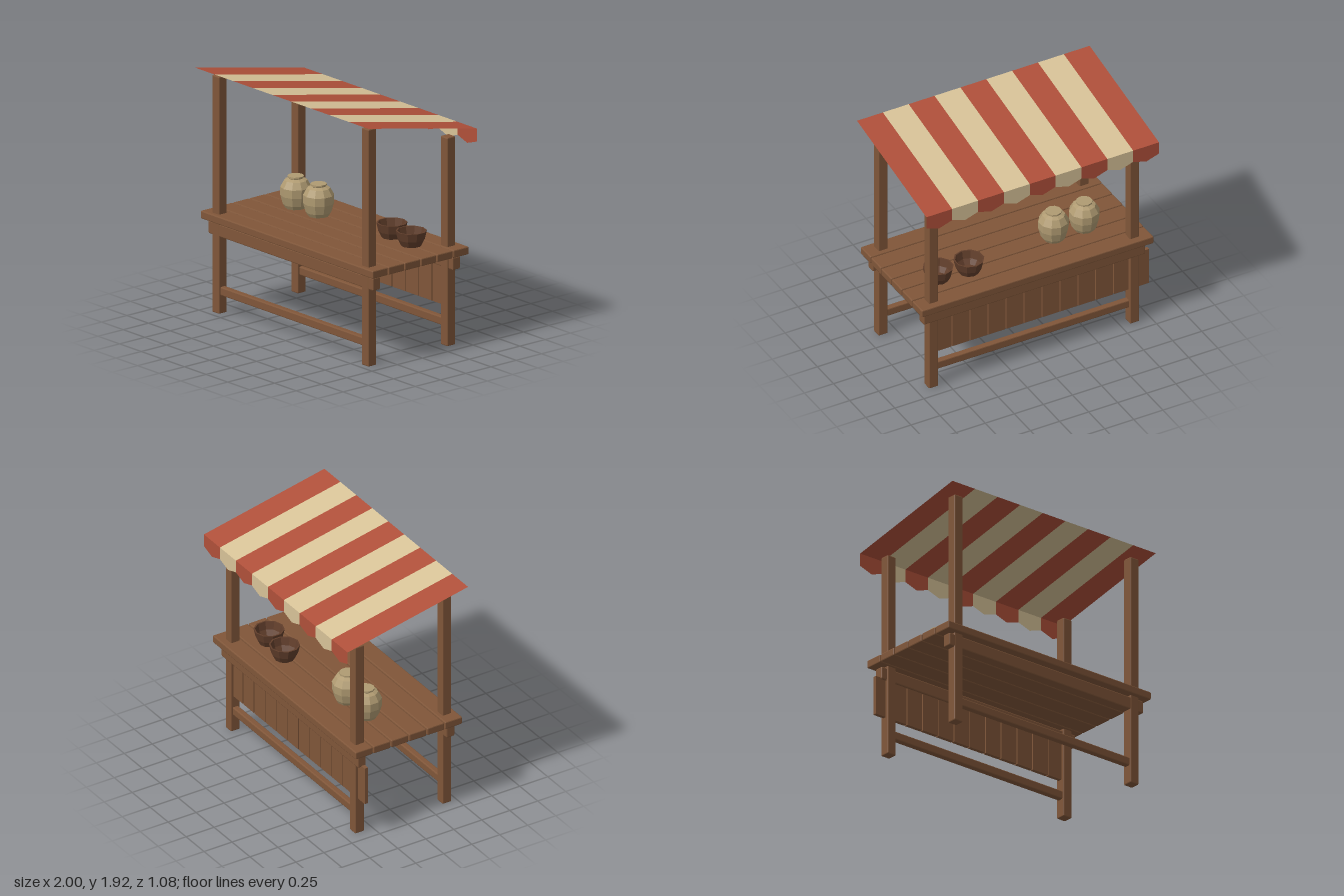
import * as THREE from 'three';
import { RoundedBoxGeometry } from 'three/addons/geometries/RoundedBoxGeometry.js';

const mat = (name, color, extra = {}) => {
  const m = new THREE.MeshStandardMaterial({ color, ...extra });
  m.name = name;
  return m;
};

export function createModel() {
  const root = new THREE.Group();
  root.name = 'marketStall';

  const wood = mat('wood', 0x805639);
  const bowlWood = mat('darkWood', 0x613e2b);
  const clay = mat('clay', 0xb09b72);
  const red = mat('redCloth', 0xb0503a, { side: THREE.DoubleSide });
  const cream = mat('creamCloth', 0xd8c398, { side: THREE.DoubleSide });

  const add = (name, geometry, material, x = 0, y = 0, z = 0, parent = root) => {
    const mesh = new THREE.Mesh(geometry, material);
    mesh.name = name;
    mesh.position.set(x, y, z);
    parent.add(mesh);
    return mesh;
  };
  const group = (name) => {
    const g = new THREE.Group();
    g.name = name;
    root.add(g);
    return g;
  };
  // Timber with small flat chamfers
  const beam = (w, h, d) => {
    const g = new RoundedBoxGeometry(w, h, d, 1, 0.008);
    g.computeVertexNormals();
    return g;
  };
  // Faceted turned vessel
  const turned = (profile, sides) => {
    const pts = profile.map(([r, y]) => new THREE.Vector2(r, y));
    const g = new THREE.LatheGeometry(pts, sides).toNonIndexed();
    g.computeVertexNormals();
    return g;
  };

  // Posts: tall at the front, shorter at the back
  const posts = group('posts');
  for (const x of [-0.864, 0.864]) {
    add('frontPost', beam(0.08, 1.87, 0.08), wood, x, 0.935, 0.413, posts);
    add('backPost', beam(0.08, 1.645, 0.08), wood, x, 0.8225, -0.368, posts);
  }

  // Table top planks
  const tableTop = group('tableTop');
  for (let i = 0; i < 6; i++) {
    add('plank', beam(1.992, 0.062, 0.152), wood, 0, 0.753, 0.413 - i * 0.16, tableTop);
  }

  // Aprons below the top and stretchers between the legs
  const rails = group('rails');
  for (const [z, apronZ] of [[0.413, 0.413], [-0.368, -0.378]]) {
    add('apron', beam(1.905, 0.1, 0.072), wood, 0, 0.659, apronZ, rails);
    add('stretcher', beam(1.67, 0.066, 0.05), wood, 0, 0.178, z, rails);
  }

  // Boards hanging below the back apron
  const skirt = group('skirtBoards');
  for (let i = 0; i < 12; i++) {
    add('skirtBoard', new THREE.BoxGeometry(0.146, 0.313, 0.03), wood,
      -0.927 + i * 0.1545, 0.4635, -0.37, skirt);
  }

  // Striped sloping canopy with a scalloped valance along the low back edge
  const canopy = group('canopy');
  const stripes = 9, w = 2 / stripes;
  const front = { y: 1.92, z: 0.538 }, back = { y: 1.7, z: -0.538 };
  const rise = front.y - back.y, run = front.z - back.z;
  const sheet = new THREE.PlaneGeometry(w, Math.hypot(rise, run));
  sheet.rotateX(-Math.PI / 2 - Math.atan2(rise, run) * -1);
  const scallop = new THREE.ShapeGeometry(new THREE.Shape([
    new THREE.Vector2(-w / 2, 0),
    new THREE.Vector2(-w / 2, -0.103),
    new THREE.Vector2(0, -0.14),
    new THREE.Vector2(w / 2, -0.103),
    new THREE.Vector2(w / 2, 0),
  ]));
  scallop.rotateY(Math.PI);
  for (let i = 0; i < stripes; i++) {
    const x = -1 + w * (i + 0.5);
    const cloth = i % 2 ? cream : red;
    add('canopyStripe', sheet, cloth, x, (front.y + back.y) / 2, 0, canopy);
    add('valanceFlap', scallop, cloth, x, back.y, back.z, canopy);
  }
  // Tilt: positive z end of the sheet must be the high one
  sheet.computeBoundingBox();
  const p = sheet.attributes.position;
  for (let i = 0; i < p.count; i++) p.setY(i, (p.getZ(i) > 0 ? 1 : -1) * rise / 2);
  sheet.computeVertexNormals();

  // Clay jars
  const jar = turned([[0, 0], [0.08, 0], [0.098, 0.03], [0.117, 0.1], [0.118, 0.165],
    [0.088, 0.218], [0.055, 0.232], [0.063, 0.238], [0.063, 0.251], [0, 0.251]], 10);
  for (const x of [-0.594, -0.33]) add('jar', jar, clay, x, 0.784, -0.11);

  // Open bowls
  const bowl = turned([[0, 0], [0.078, 0], [0.103, 0.05], [0.118, 0.117],
    [0.106, 0.117], [0.092, 0.055], [0.066, 0.015], [0, 0.015]], 10);
  for (const [x, z] of [[0.436, -0.18], [0.687, -0.157]]) add('bowl', bowl, bowlWood, x, 0.784, z);

  return root;
}
